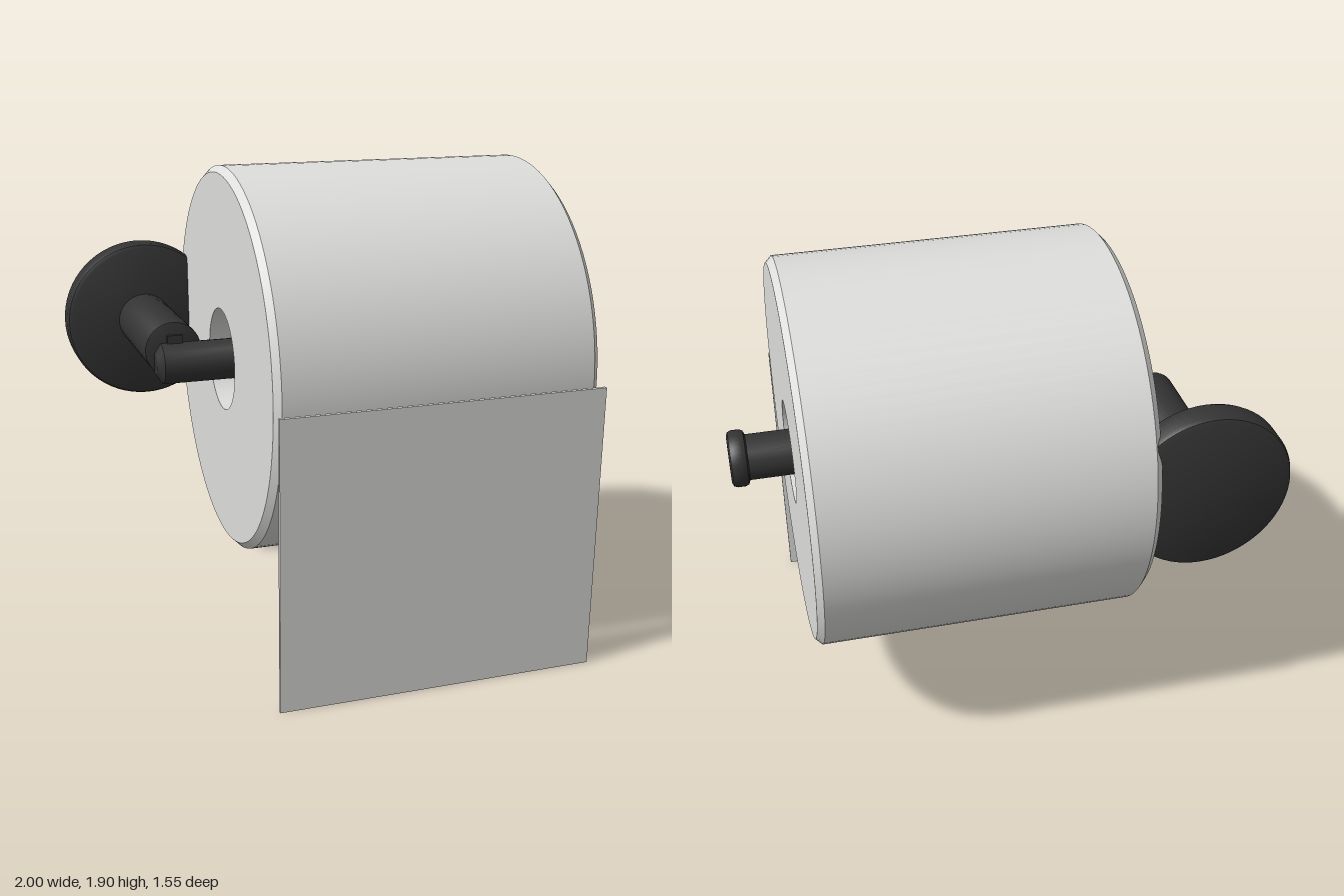
import * as THREE from 'three';
import { toCreasedNormals } from 'three/addons/utils/BufferGeometryUtils.js';

const AXIS_Y = 1.15, AXIS_Z = -0.025;

// Revolved solid from [radius, height] pairs, listed bottom to top on the outside
function revolve(points, segments) {
  const lathe = new THREE.LatheGeometry(points.map(([r, h]) => new THREE.Vector2(r, h)), segments);
  return toCreasedNormals(lathe, 0.45);
}

// Solid disc or rod with bevelled rims
function bevelled(r, a, b, bevel, segments) {
  const k = bevel * 0.3;
  return revolve([
    [0, a], [r - bevel, a], [r - k, a + k], [r, a + bevel],
    [r, b - bevel], [r - k, b - k], [r - bevel, b], [0, b],
  ], segments);
}

export function createModel() {
  const model = new THREE.Group();
  const paper = new THREE.MeshStandardMaterial({ name: 'white paper', color: 0xdededc });
  const metal = new THREE.MeshStandardMaterial({ name: 'black metal', color: 0x343434 });

  const add = (name, geometry, material, parent = model) => {
    const mesh = new THREE.Mesh(geometry, material);
    mesh.name = name;
    parent.add(mesh);
    return mesh;
  };

  // Everything on the roll axis: local y becomes model x
  const spindle = new THREE.Group();
  spindle.name = 'spindle';
  spindle.rotation.z = -Math.PI / 2;
  spindle.position.set(0, AXIS_Y, AXIS_Z);
  model.add(spindle);

  // Hollow paper roll with chamfered outer rims
  add('paperRoll', revolve([
    [0.2, -0.485], [0.725, -0.485], [0.75, -0.46], [0.75, 0.745],
    [0.725, 0.77], [0.2, 0.77], [0.2, -0.485],
  ], 96), paper, spindle);

  // Holder rod, with a slightly drawn-in left end, and its end knob
  add('holderRod', revolve([
    [0, -0.75], [0.04, -0.75], [0.08, -0.725], [0.08, -0.45],
    [0.09, -0.4], [0.09, 0.94], [0, 0.94],
  ], 16), metal, spindle);
  add('endKnob', bevelled(0.11, 0.93, 1, 0.02, 40), metal, spindle);

  // Hanging sheet, leaning in towards its lower edge
  const sheet = new THREE.Shape([[0.722, 0], [0.738, 0], [0.777, 1.13], [0.761, 1.13]]
    .map(([z, y]) => new THREE.Vector2(-z, y)));
  const sheetGeometry = new THREE.ExtrudeGeometry(sheet, { depth: 1.255, bevelEnabled: false });
  sheetGeometry.rotateY(Math.PI / 2);
  add('hangingSheet', sheetGeometry, paper).position.x = -0.485;

  // Wall mount: local y becomes model z
  const mount = new THREE.Group();
  mount.name = 'wallMount';
  mount.rotation.x = Math.PI / 2;
  mount.position.set(-0.675, 1.2, 0);
  model.add(mount);
  add('wallPlate', bevelled(0.325, -0.717, -0.6, 0.022, 64), metal, mount);
  add('mountArm', bevelled(0.11, -0.62, -0.03, 0.004, 40), metal, mount);

  // Small tab joining the rod to the arm
  add('joiningTab', new THREE.BoxGeometry(0.06, 0.11, 0.04), metal).position.set(-0.67, 1.205, -0.035);

  return model;
}
